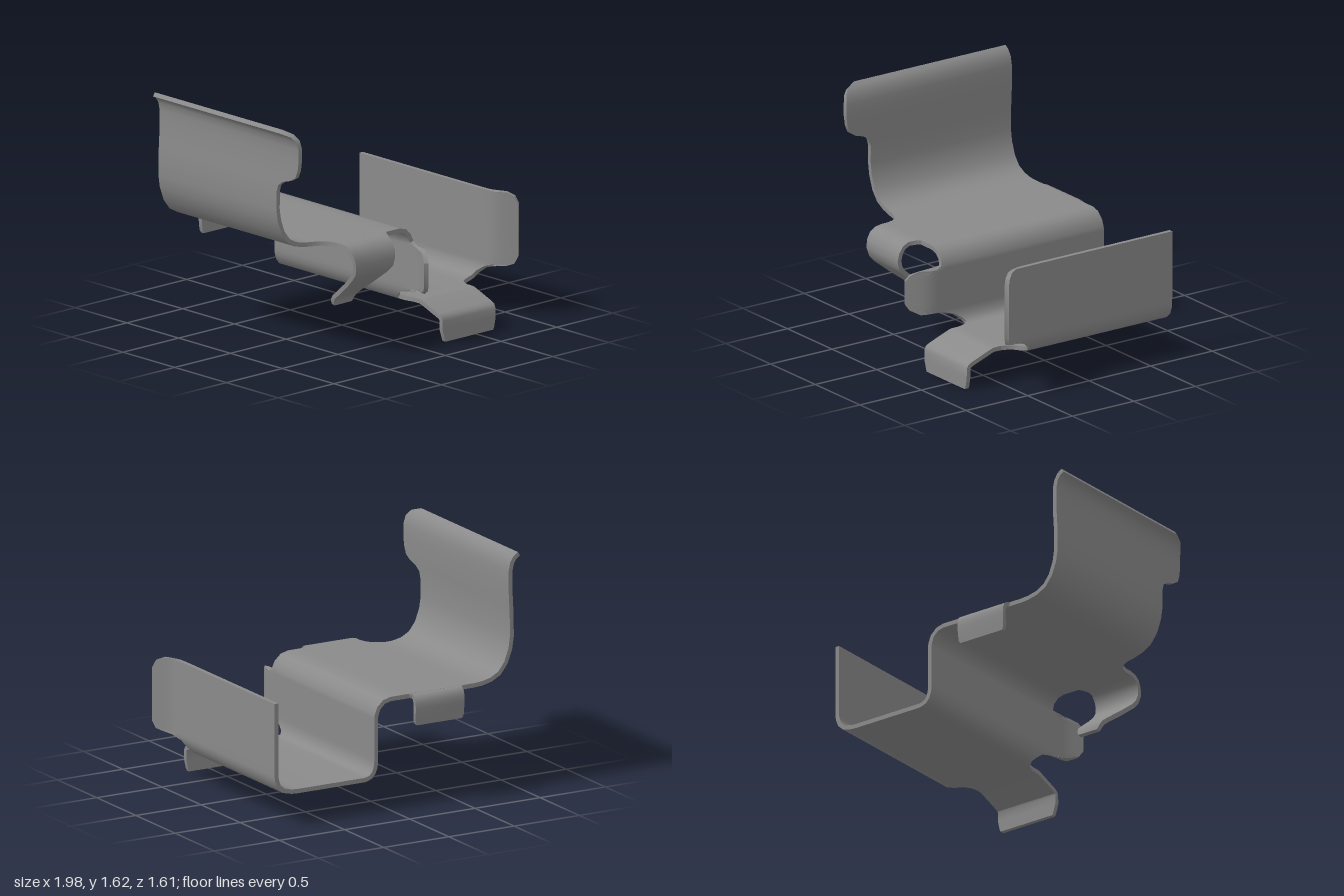
import * as THREE from 'three';
import { toCreasedNormals } from 'three/addons/utils/BufferGeometryUtils.js';

const THICKNESS = 0.03;
const BACK = -0.755;

// Thick sheet around a grid of mid-surface points grid[i][j]
function sheet(grid) {
  const m = grid.length, n = grid[0].length;
  const step = (a, b) => b.clone().sub(a).normalize();
  const side = (sign) => grid.map((row, i) => row.map((p, j) => {
    const du = new THREE.Vector3(), dv = new THREE.Vector3();
    if (i > 0) du.add(step(grid[i - 1][j], p));
    if (i < m - 1) du.add(step(p, grid[i + 1][j]));
    if (j > 0) dv.add(step(row[j - 1], p));
    if (j < n - 1) dv.add(step(p, row[j + 1]));
    return du.cross(dv).normalize().multiplyScalar(sign * THICKNESS / 2).add(p);
  }));
  const top = side(1), bottom = side(-1), pos = [];
  const quad = (a, b, c, d) => [a, b, c, a, c, d].forEach((p) => pos.push(p.x, p.y, p.z));

  for (let i = 0; i < m - 1; i++) {
    for (let j = 0; j < n - 1; j++) {
      quad(top[i][j], top[i + 1][j], top[i + 1][j + 1], top[i][j + 1]);
      quad(bottom[i][j], bottom[i][j + 1], bottom[i + 1][j + 1], bottom[i + 1][j]);
    }
  }
  // Cut edge all the way round
  const rim = [];
  for (let i = 0; i < m - 1; i++) rim.push([i, 0]);
  for (let j = 0; j < n - 1; j++) rim.push([m - 1, j]);
  for (let i = m - 1; i > 0; i--) rim.push([i, n - 1]);
  for (let j = n - 1; j > 0; j--) rim.push([0, j]);
  rim.forEach(([i, j], k) => {
    const [p, q] = rim[(k + 1) % rim.length];
    quad(bottom[i][j], bottom[p][q], top[p][q], top[i][j]);
  });
  const geo = new THREE.BufferGeometry();
  geo.setAttribute('position', new THREE.Float32BufferAttribute(pos, 3));
  return toCreasedNormals(geo, 0.7);
}

// Bent tab: each row is [z, y, xMin, xMax]
function tab(rows) {
  return sheet(rows.map(([z, y, x0, x1]) =>
    [0, 0.5, 1].map((t) => new THREE.Vector3(x0 + (x1 - x0) * t, y, z))));
}

export function createModel() {
  const group = new THREE.Group();
  const steel = new THREE.MeshStandardMaterial({ color: 0x8a8a8a });
  steel.name = 'grey steel';
  const add = (name, geo) => {
    const mesh = new THREE.Mesh(geo, steel);
    mesh.name = name;
    group.add(mesh);
  };

  // Folded profile, each point is [x, y, z of the front edge]
  const leftWall = [
    [-0.985, 1.61, 0.48], [-0.955, 1.59, 0.55], [-0.932, 1.555, 0.58], [-0.92, 1.5, 0.59],
    [-0.92, 1.42, 0.59], [-0.921, 1.35, 0.58], [-0.923, 1.3, 0.56], [-0.925, 1.27, 0.51],
    [-0.926, 1.25, 0.44], [-0.928, 1.22, 0.4], [-0.929, 1.17, 0.385], [-0.93, 1.05, 0.385],
    [-0.918, 0.97, 0.385], [-0.885, 0.88, 0.385], [-0.835, 0.815, 0.385], [-0.77, 0.78, 0.385],
  ];
  const shelf = [
    [-0.7, 0.764, 0.39], [-0.64, 0.76, 0.4], [-0.58, 0.76, 0.435], [-0.55, 0.76, 0.475],
    [-0.535, 0.76, 0.53], [-0.1, 0.76, 0.555], [0, 0.76, 0.555], [0.05, 0.747, 0.555],
    [0.09, 0.71, 0.555], [0.107, 0.665, 0.56],
  ];
  const web = [
    [0.11, 0.65, 0.61], [0.11, 0.642, 0.71], [0.11, 0.62, 0.76], [0.11, 0.58, 0.79],
    [0.11, 0.42, 0.79], [0.11, 0.38, 0.765], [0.11, 0.348, 0.7], [0.111, 0.335, 0.55],
    [0.115, 0.31, 0.46], [0.128, 0.275, 0.41],
  ];
  const base = [
    [0.15, 0.25, 0.39], [0.18, 0.238, 0.42], [0.2, 0.235, 0.48], [0.675, 0.235, 0.48],
    [0.69, 0.235, 0.44], [0.715, 0.235, 0.405], [0.76, 0.238, 0.385], [0.82, 0.252, 0.38],
    [0.855, 0.285, 0.395],
  ];
  const rightWall = [
    [0.87, 0.325, 0.45], [0.873, 0.342, 0.53], [0.874, 0.355, 0.6], [0.874, 0.37, 0.635],
    [0.875, 0.42, 0.655], [0.875, 0.78, 0.655], [0.875, 0.83, 0.635], [0.875, 0.855, 0.59],
  ];

  // The fronts of the web and right wall flare sideways past a hinge line
  const flare = (points, slope, hinge) => points.map((p) => [...p, slope, hinge]);
  const profile = [
    ...flare(leftWall, 0, 0), ...flare(shelf, 0, 0), ...flare(web, -0.6, 0.65),
    ...flare(base, 0, 0), ...flare(rightWall, 0.8, 0.53),
  ];
  const STEPS = 12;
  add('foldedBody', sheet(profile.map(([x, y, front, slope, hinge]) => {
    const levels = [BACK];
    for (let k = 0; k <= STEPS; k++) levels.push(0.36 + (front - 0.36) * k / STEPS);
    return levels.map((z) => {
      const d = z - hinge;
      const shift = z > 0 ? slope * (Math.hypot(d, 0.04) + d) / 2 : 0;
      return new THREE.Vector3(x + shift, y, z);
    });
  })));

  // Front hook curling down and back under the shelf
  add('frontHook', tab([
    [0.53, 0.76, -0.535, -0.1], [0.575, 0.76, -0.535, -0.135], [0.62, 0.752, -0.535, -0.16],
    [0.655, 0.73, -0.535, -0.168], [0.68, 0.69, -0.53, -0.17], [0.688, 0.64, -0.525, -0.175],
    [0.675, 0.59, -0.515, -0.18], [0.64, 0.55, -0.505, -0.195], [0.55, 0.475, -0.475, -0.225],
    [0.45, 0.4, -0.45, -0.245], [0.4, 0.36, -0.445, -0.25], [0.38, 0.33, -0.44, -0.255],
    [0.373, 0.3, -0.425, -0.27],
  ]));

  // Front foot stepping down to the ground
  add('frontFoot', tab([
    [0.48, 0.235, 0.2, 0.675], [0.54, 0.235, 0.2, 0.675], [0.56, 0.229, 0.2, 0.675],
    [0.71, 0.173, 0.2, 0.675], [0.735, 0.16, 0.2, 0.675], [0.744, 0.14, 0.2, 0.675],
    [0.744, 0.08, 0.2, 0.675], [0.744, 0.02, 0.218, 0.662], [0.744, 0, 0.226, 0.654],
  ]));

  // Rear lip folded down behind the shelf
  add('rearLip', tab([
    [-0.75, 0.76, -0.555, -0.14], [-0.768, 0.757, -0.537, -0.158], [-0.785, 0.745, -0.535, -0.16],
    [-0.794, 0.72, -0.535, -0.16], [-0.796, 0.68, -0.535, -0.16], [-0.788, 0.59, -0.532, -0.163],
    [-0.786, 0.567, -0.52, -0.175],
  ]));

  return group;
}
